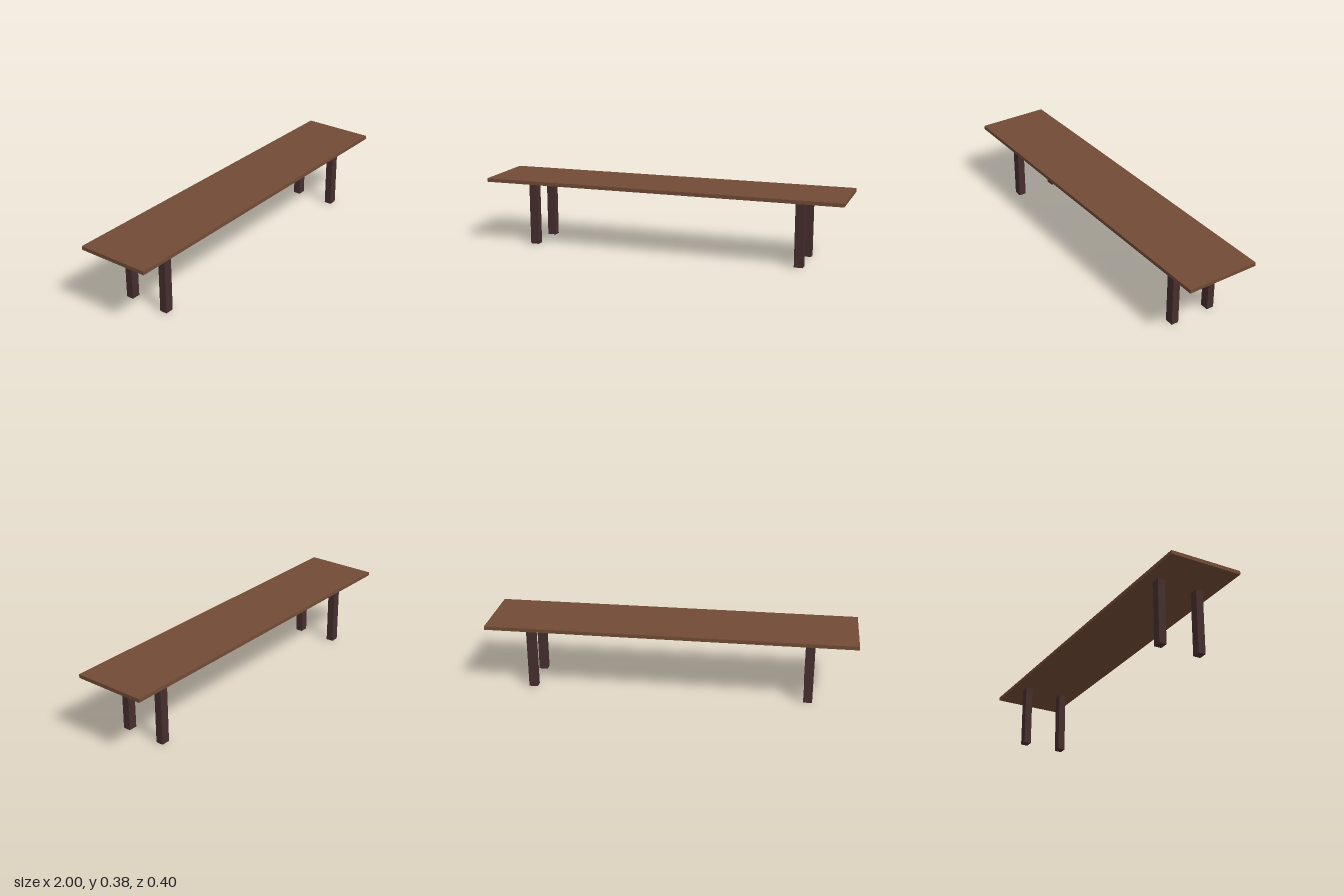
import * as THREE from 'three';

export function createModel() {
  const model = new THREE.Group();
  model.name = 'bench';
  const topWood = new THREE.MeshStandardMaterial({ color: 0x724c36 });
  topWood.name = 'brown wood';
  const legWood = new THREE.MeshStandardMaterial({ color: 0x462e2e });
  legWood.name = 'dark wood';

  const addBox = (name, material, size, position) => {
    const mesh = new THREE.Mesh(new THREE.BoxGeometry(...size), material);
    mesh.name = name;
    mesh.position.set(...position);
    model.add(mesh);
  };

  // Long plank seat
  const height = 0.375, thickness = 0.02;
  addBox('seat', topWood, [2, thickness, 0.4], [0, height - thickness / 2, 0]);

  // Four square legs, set slightly off centre under the seat
  const legHeight = height - thickness;
  for (const [side, x] of [['left', 0.763], ['right', -0.751]]) {
    for (const [end, z] of [['front', 0.11], ['back', -0.116]]) {
      addBox(`${end} ${side} leg`, legWood, [0.048, legHeight, 0.041], [x, legHeight / 2, z]);
    }
  }
  return model;
}
